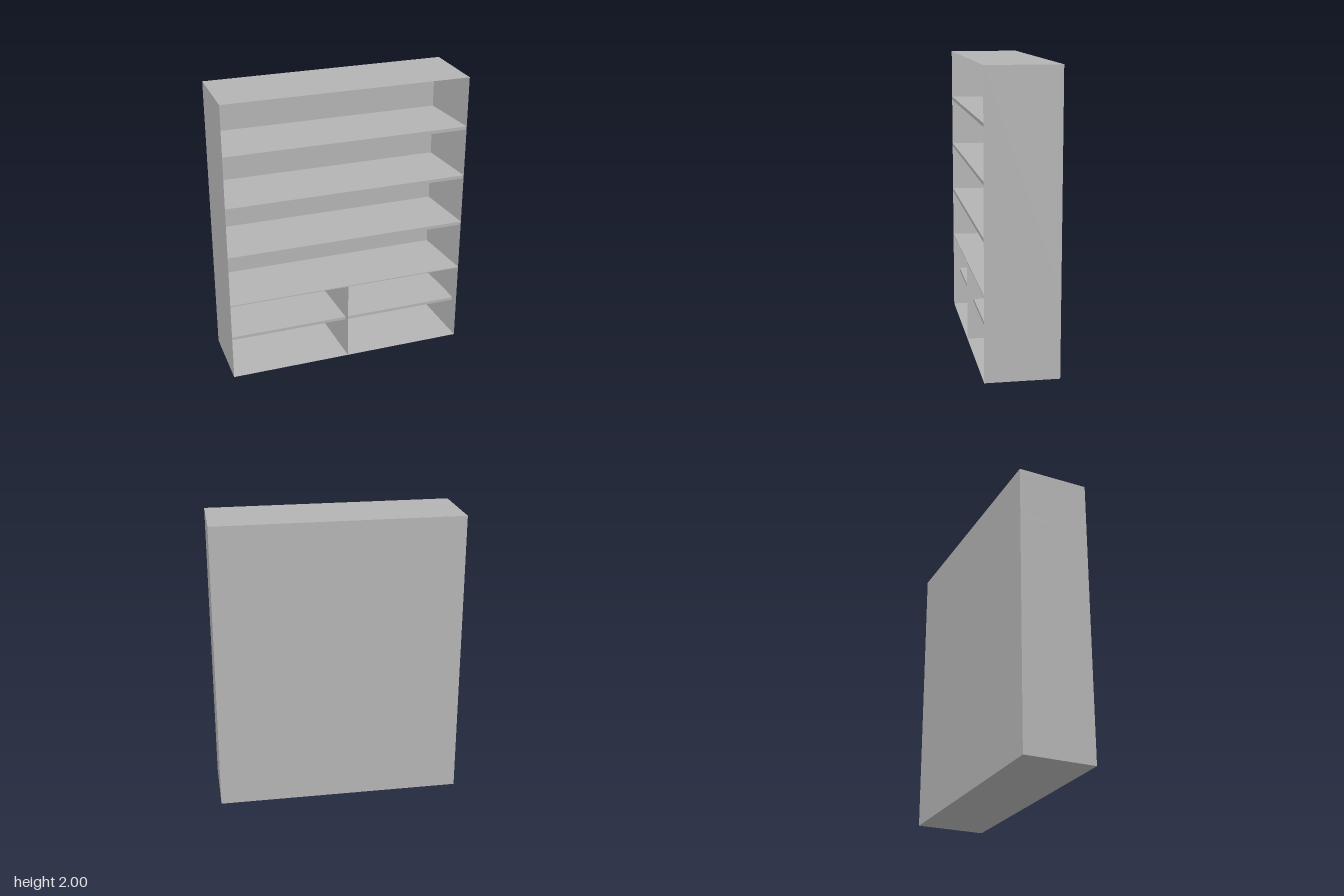
import * as THREE from 'three';

const W = 0.843;      // half width
const F = 0.246;      // front z (back is -F)
const B = -0.215;     // inner face of the back panel
const SPLIT = 0.575;  // top of the lower section

const toShape = (pts) => new THREE.Shape(pts.map(([a, b]) => new THREE.Vector2(a, b)));

// Board with a (z, y) profile running along x
function slab(profile, x0, x1) {
  const g = new THREE.ExtrudeGeometry(toShape(profile), { depth: x1 - x0, bevelEnabled: false });
  return g.rotateY(-Math.PI / 2).translate(x1, 0, 0);
}

// Upright with an (x, z) plan rising along y
function upright(plan, y0, y1) {
  const pts = plan.map(([x, z]) => [x, -z]);
  const g = new THREE.ExtrudeGeometry(toShape(pts), { depth: y1 - y0, bevelEnabled: false });
  return g.rotateX(-Math.PI / 2).translate(0, y0, 0);
}

export function createModel() {
  const group = new THREE.Group();
  const grey = new THREE.MeshStandardMaterial({ color: 0xb3b3b3 });
  grey.name = 'paintedGrey';

  const add = (name, geometry) => {
    const mesh = new THREE.Mesh(geometry, grey);
    mesh.name = name;
    group.add(mesh);
  };

  // Back panel
  add('backPanel', new THREE.BoxGeometry(2 * W, 2, F + B).translate(0, 1, (B - F) / 2));

  // Side walls taper to a sharp edge at the front
  for (const s of [-1, 1]) {
    const side = s > 0 ? 'left' : 'right';
    const wall = (inner) => [[s * W, -F], [s * W, F], [s * inner, B], [s * inner, -F]];
    add(side + 'UpperWall', upright(wall(0.8), SPLIT, 2));
    add(side + 'LowerWall', upright(wall(0.815), 0, SPLIT));
  }

  // Top, base and middle board, also tapering forward
  add('topBoard', slab([[-F, 2], [F, 2], [B, 1.97], [-F, 1.97]], -W, W));
  add('baseBoard', slab([[-F, 0], [F, 0], [B, 0.01], [-F, 0.01]], -W, W));
  add('middleBoard', slab([[-F, SPLIT], [F, SPLIT], [F, 0.568], [B, 0.51], [-F, 0.51]], -W, W));

  // Upper shelves: top, front underside, back underside
  const shelves = [[1.655, 1.632, 1.61], [1.296, 1.274, 1.26], [0.94, 0.917, 0.917]];
  shelves.forEach(([top, front, back], i) => {
    add('upperShelf' + (i + 1), slab([[B, top], [F, top], [F, front], [B, back]], -W, W));
  });

  // Wedge divider and the set-back shelves beside it
  add('divider', upright([[0, F], [0.027, B], [-0.027, B]], 0, SPLIT - 0.005));
  const low = [[B, 0.296], [0.2, 0.296], [0.2, 0.275], [B, 0.25]];
  add('leftLowerShelf', slab(low, 0.002, 0.833));
  add('rightLowerShelf', slab(low, -0.833, -0.002));

  return group;
}
